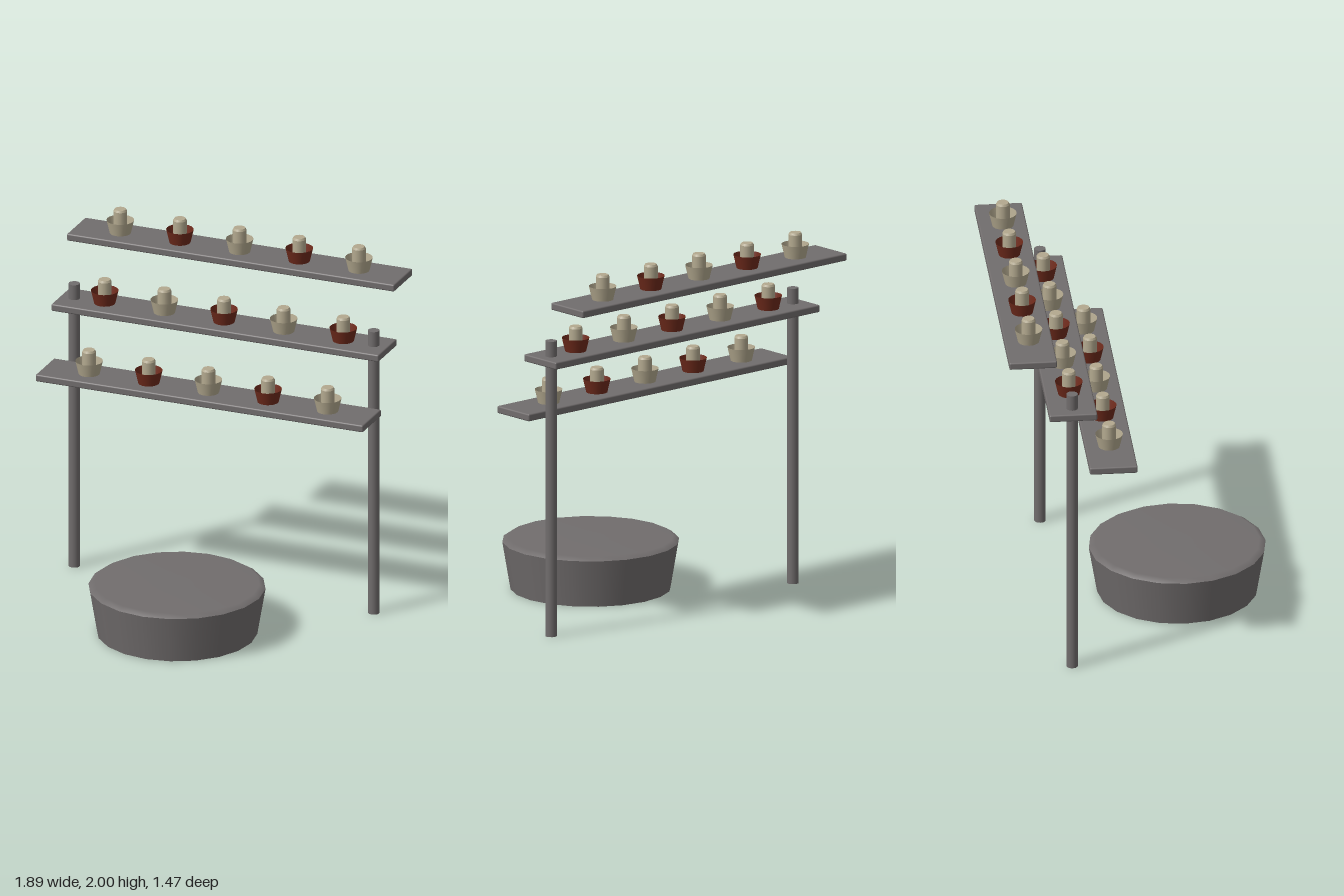
import * as THREE from 'three';
import { RoundedBoxGeometry } from 'three/addons/geometries/RoundedBoxGeometry.js';

const v = (x, y) => new THREE.Vector2(x, y);

export function createModel() {
  const group = new THREE.Group();
  const mat = (name, color, side = THREE.FrontSide) => {
    const m = new THREE.MeshStandardMaterial({ color, side });
    m.name = name;
    return m;
  };
  const grey = mat('warm grey', 0x716d6d);
  const cream = mat('cream', 0xb3a98f, THREE.DoubleSide);
  const russet = mat('russet', 0x6e2a1b, THREE.DoubleSide);

  const add = (parent, name, geometry, material, x, y, z) => {
    const mesh = new THREE.Mesh(geometry, material);
    mesh.name = name;
    mesh.position.set(x, y, z);
    parent.add(mesh);
    return mesh;
  };

  // Shared shapes
  const shelfGeo = new RoundedBoxGeometry(1.894, 0.04, 0.256, 2, 0.008);
  const potGeo = new THREE.CylinderGeometry(0.074, 0.057, 0.073, 20, 1, true);
  const stemGeo = new THREE.LatheGeometry([
    v(0, 0), v(0.037, 0), v(0.037, 0), v(0.037, 0.125), v(0.037, 0.125),
    v(0.031, 0.136), v(0.031, 0.136), v(0, 0.136),
  ], 16);

  // Three stepped shelves, each with five pots in alternating colours
  const shelves = [
    { name: 'lowerShelf', top: 1.215, z: -0.174 },
    { name: 'middleShelf', top: 1.54, z: -0.39 },
    { name: 'upperShelf', top: 1.864, z: -0.606 },
  ];
  shelves.forEach(({ name, top, z }, row) => {
    add(group, name, shelfGeo, grey, 0, top - 0.02, z);
    for (let i = 0; i < 5; i++) {
      const pot = new THREE.Group();
      pot.name = 'pottedStem';
      pot.position.set((i - 2) * 0.345, top, z);
      add(pot, 'pot', potGeo, (i + row) % 2 ? russet : cream, 0, 0.0365, 0);
      add(pot, 'stem', stemGeo, cream, 0, 0, 0);
      group.add(pot);
    }
  });

  // Two posts through the middle shelf
  const postGeo = new THREE.CylinderGeometry(0.031, 0.031, 1.625, 12);
  for (const s of [-1, 1]) add(group, s > 0 ? 'leftPost' : 'rightPost', postGeo, grey, s * 0.866, 0.8125, -0.39);

  // Tapered round basin with a softened top edge, one vertex on each axis
  const basinGeo = new THREE.LatheGeometry([
    v(0, 0), v(0.43, 0), v(0.43, 0), v(0.474, 0.26), v(0.474, 0.26), v(0.442, 0.28), v(0, 0.278),
  ], 20);
  // Keep hard corners: the wall and base are shaded apart from the lid
  const parts = [[v(0, 0), v(0.43, 0)], [v(0.43, 0), v(0.474, 0.26)], [v(0.474, 0.26), v(0.442, 0.28), v(0, 0.278)]];
  basinGeo.dispose();
  const basin = new THREE.Group();
  basin.name = 'basin';
  basin.position.set(0, 0, 0.26);
  ['basinBase', 'basinWall', 'basinTop'].forEach((name, i) =>
    add(basin, name, new THREE.LatheGeometry(parts[i], 20), grey, 0, 0, 0));
  group.add(basin);

  return group;
}
